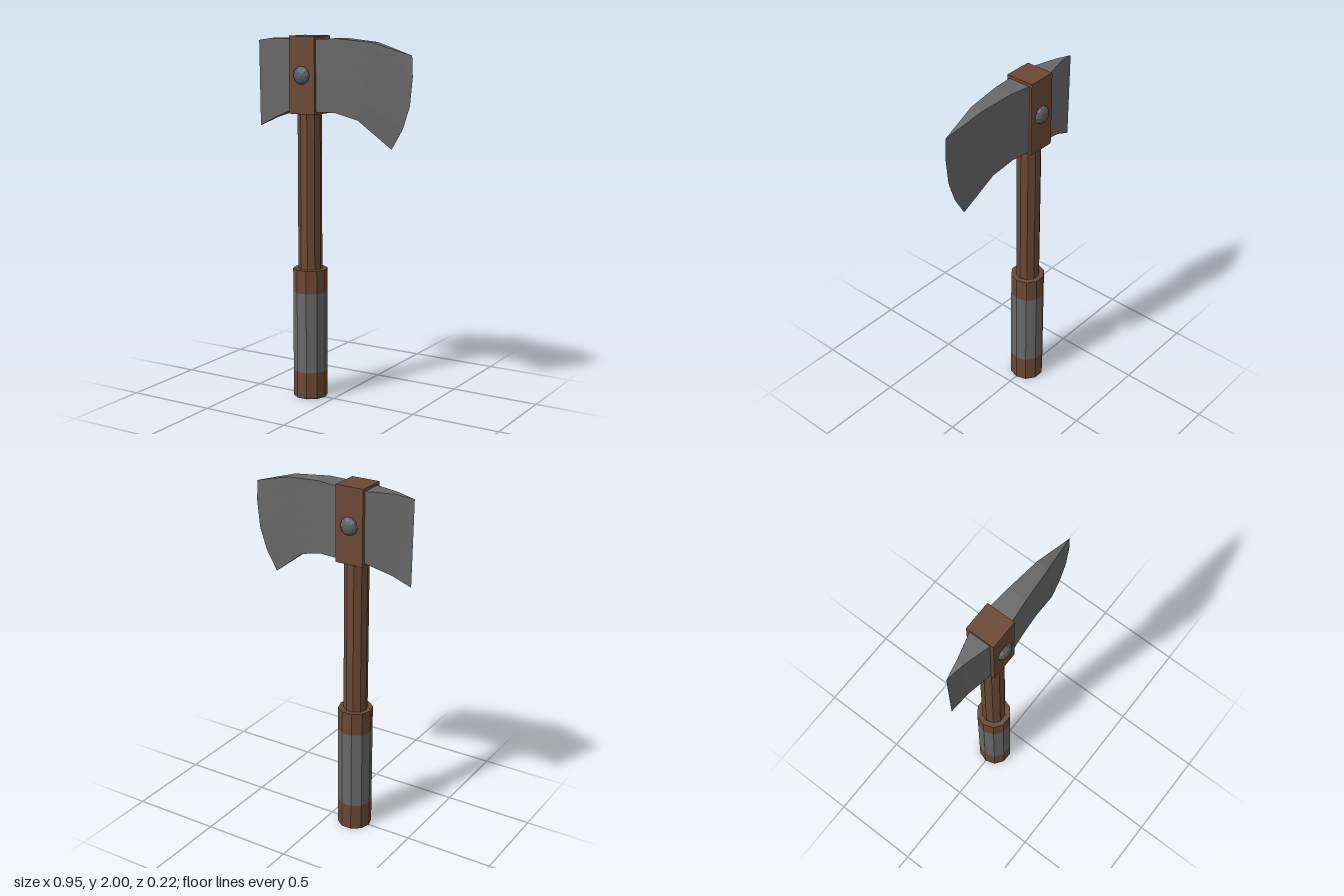
import * as THREE from 'three';

const brown = new THREE.MeshStandardMaterial({ name: 'brown wood', color: 0x6b4834, flatShading: true });
const steel = new THREE.MeshStandardMaterial({ name: 'grey steel', color: 0x686868, flatShading: true });
const boltGrey = new THREE.MeshStandardMaterial({ name: 'dark bolt grey', color: 0x586064, flatShading: true });

const SHAFT_X = -0.15;

// A ten-sided length of the handle, from y0 to y1
function rod(name, radius, y0, y1, material, open = false) {
  const geo = new THREE.CylinderGeometry(radius, radius, y1 - y0, 10, 1, open);
  geo.rotateY(Math.PI / 2);
  const mesh = new THREE.Mesh(geo, material);
  mesh.position.set(SHAFT_X, (y0 + y1) / 2, 0);
  mesh.name = name;
  return mesh;
}

// Column of evenly spaced points from top to bottom
function column(top, bottom, half, rows) {
  return Array.from({ length: rows }, (_, j) => {
    const t = j / (rows - 1);
    return [top[0] + (bottom[0] - top[0]) * t, top[1] + (bottom[1] - top[1]) * t, half];
  });
}

// Wedge skin through columns of [x, y, half thickness], ordered by rising x
function blade(name, cols) {
  const pos = [];
  const quad = (a, b, c, d) => pos.push(...a, ...b, ...c, ...a, ...c, ...d);
  const front = ([x, y, h]) => [x, y, h];
  const back = ([x, y, h]) => [x, y, -h];
  for (let i = 0; i < cols.length - 1; i++) {
    const l = cols[i], r = cols[i + 1], n = l.length - 1;
    for (let j = 0; j < n; j++) {
      quad(front(l[j]), front(l[j + 1]), front(r[j + 1]), front(r[j]));
      quad(back(l[j]), back(r[j]), back(r[j + 1]), back(l[j + 1]));
    }
    quad(front(l[0]), front(r[0]), back(r[0]), back(l[0]));
    quad(front(l[n]), back(l[n]), back(r[n]), front(r[n]));
  }
  const geo = new THREE.BufferGeometry();
  geo.setAttribute('position', new THREE.Float32BufferAttribute(pos, 3));
  geo.computeVertexNormals();
  const mesh = new THREE.Mesh(geo, steel);
  mesh.name = name;
  return mesh;
}

export function createModel() {
  const axe = new THREE.Group();
  axe.name = 'axe';

  // Handle: thick grip with a grey wrap, then a slimmer shaft
  axe.add(
    rod('gripBottom', 0.095, 0, 0.15, brown),
    rod('gripWrap', 0.095, 0.15, 0.6, steel, true),
    rod('gripTop', 0.095, 0.6, 0.73, brown),
    rod('shaft', 0.066, 0.73, 1.6, brown)
  );

  // Square block holding the blades
  const block = new THREE.Mesh(new THREE.BoxGeometry(0.16, 0.415, 0.16), brown);
  block.position.set(SHAFT_X, 1.7925, 0);
  block.name = 'headBlock';
  axe.add(block);

  // Main blade with a curved cutting edge
  axe.add(blade('mainBlade', [
    column([-0.1, 1.982], [-0.1, 1.6], 0.069, 5),
    column([0.05, 1.99], [0.04, 1.6], 0.052, 5),
    column([0.25, 1.973], [0.17, 1.565], 0.034, 5),
    [[0.47, 1.91, 0], [0.475, 1.8, 0], [0.46, 1.65, 0], [0.42, 1.53, 0], [0.355, 1.42, 0]]
  ]));

  // Short rear blade
  axe.add(blade('rearBlade', [
    column([-0.478, 1.97], [-0.472, 1.502], 0, 2),
    column([-0.375, 1.984], [-0.365, 1.553], 0.02, 2),
    column([-0.22, 1.984], [-0.22, 1.606], 0.063, 2)
  ]));

  // Domed bolts on both faces of the block
  for (const side of [1, -1]) {
    const geo = new THREE.SphereGeometry(0.05, 10, 8);
    geo.rotateX(Math.PI / 2);
    const bolt = new THREE.Mesh(geo, boltGrey);
    bolt.scale.z = 0.58;
    bolt.position.set(SHAFT_X, 1.793, side * 0.08);
    bolt.name = side > 0 ? 'frontBolt' : 'backBolt';
    axe.add(bolt);
  }

  return axe;
}
